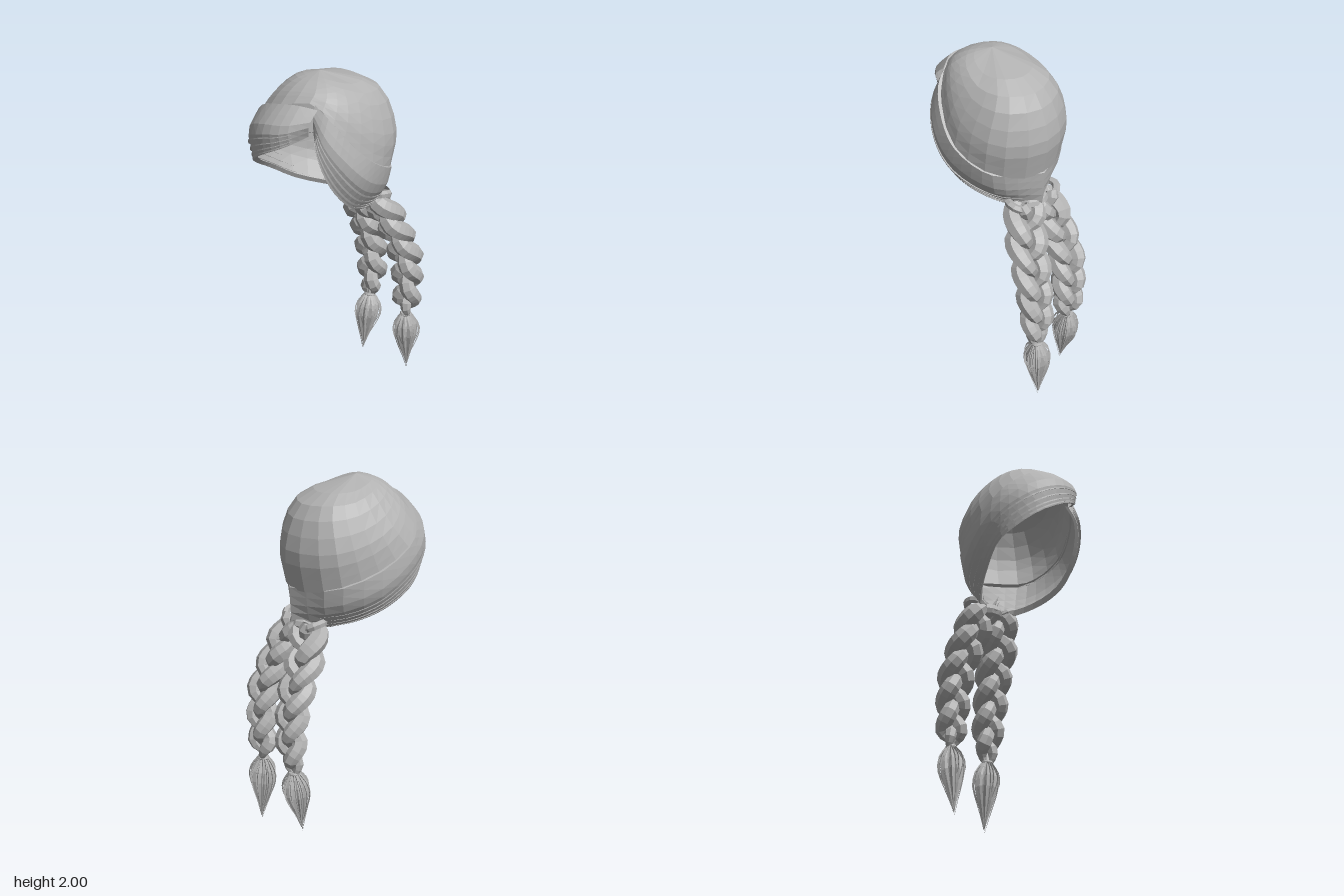
import * as THREE from 'three';

const hair = new THREE.MeshStandardMaterial({ color: 0xb2b2b2, side: THREE.DoubleSide, flatShading: true });
hair.name = 'hair grey';
const V = (x, y, z) => new THREE.Vector3(x, y, z);
const vecs = (list) => list.map((p) => V(...p));
const core = V(0, 1.6, 0.04);

function add(group, name, geometry) {
  const mesh = new THREE.Mesh(geometry, hair);
  mesh.name = name;
  group.add(mesh);
  return mesh;
}

// Point on the surface spanned by several rails: u along them, v across them
function surfacePoint(curves, u, v) {
  return new THREE.CatmullRomCurve3(curves.map((c) => c.getPoint(u))).getPoint(v);
}

function loft(curves, nu, nv) {
  const pos = [], index = [];
  for (let i = 0; i <= nu; i++) {
    for (let j = 0; j <= nv; j++) {
      pos.push(...surfacePoint(curves, i / nu, j / nv).toArray());
      if (i < nu && j < nv) {
        const a = i * (nv + 1) + j, b = a + nv + 1;
        index.push(a, a + 1, b, b, a + 1, b + 1);
      }
    }
  }
  const g = new THREE.BufferGeometry();
  g.setAttribute('position', new THREE.Float32BufferAttribute(pos, 3));
  g.setIndex(index);
  g.computeVertexNormals();
  return g;
}

// Tube whose radius follows a function of the position along it
function strand(points, segments, sides, radius) {
  const curve = new THREE.CatmullRomCurve3(points);
  const g = new THREE.TubeGeometry(curve, segments, 1, sides);
  const p = g.attributes.position, v = V(0, 0, 0);
  for (let i = 0; i < p.count; i++) {
    const t = Math.floor(i / (sides + 1)) / segments;
    const c = curve.getPointAt(t);
    v.fromBufferAttribute(p, i).sub(c).multiplyScalar(radius(t)).add(c);
    p.setXYZ(i, v.x, v.y, v.z);
  }
  g.computeVertexNormals();
  return g;
}

// Smooth crown of the hair, from the top down to the ridge
function crown(group) {
  const upper = [[0, 1.975, .23], [.1, 1.98, .19], [.17, 1.95, .12], [.2, 1.9, -.02], [.15, 1.89, -.15],
    [0, 1.88, -.21], [-.15, 1.89, -.15], [-.2, 1.9, -.02], [-.17, 1.94, .12], [-.1, 1.965, .2]];
  const middle = [[0, 1.93, .31], [.16, 1.94, .24], [.25, 1.86, .15], [.3, 1.72, 0], [.235, 1.66, -.2],
    [0, 1.65, -.31], [-.235, 1.66, -.2], [-.3, 1.7, 0], [-.28, 1.78, .18], [-.18, 1.87, .28]];
  const ridge = [[0, 1.87, .37], [.17, 1.9, .28], [.28, 1.74, .2], [.325, 1.56, .02], [.23, 1.46, -.17],
    [0, 1.43, -.28], [-.23, 1.46, -.17], [-.32, 1.53, .05], [-.31, 1.66, .27], [-.2, 1.78, .35]];
  const top = upper.map(() => [0, 2, .12]);
  const curves = [top, upper, middle, ridge].map((r) => new THREE.CatmullRomCurve3(vecs(r), true));
  add(group, 'crown', loft(curves, 24, 9));
}

// Swept layer: top, middle and lower rails, with a ledge above and a turned-in hem
function sweptLayer(group, name, top, mid, edge) {
  const inward = (list, s, dy) => vecs(list).map((p) => p.sub(core).multiplyScalar(s).add(core).add(V(0, dy, 0)));
  const curve = (pts) => new THREE.CatmullRomCurve3(pts);
  const [t, m, e] = [top, mid, edge].map((r) => curve(vecs(r)));
  add(group, name, loft([t, m, e], 20, 5));
  add(group, name + 'Ledge', loft([curve(inward(top, 0.95, 0.005)), t], 20, 1));
  add(group, name + 'Hem', loft([e, curve(inward(edge, 0.95, 0.01))], 20, 1));
  // fine raised hairs along the lower half
  for (const v of [0.68, 0.8, 0.9, 0.97]) {
    const pts = [];
    for (let i = 1; i < 12; i++) {
      pts.push(surfacePoint([t, m, e], i / 12, v).sub(core).multiplyScalar(1.01).add(core));
    }
    add(group, name + 'Hair', strand(pts, 24, 3, (k) => 0.001 + 0.005 * Math.sin(Math.PI * k)));
  }
}

// Three-strand braid following a path, thicker where a strand bulges outwards
function braid(group, path, side) {
  const curve = new THREE.CatmullRomCurve3(path), turns = 1.9;
  for (let s = 0; s < 3; s++) {
    const phase = (t) => Math.PI * 2 * (t * turns + s / 3);
    const pts = [];
    for (let i = 0; i <= 40; i++) {
      const t = i / 40, a = phase(t), w = 1 - 0.35 * t * t;
      const pinch = Math.min(1, 0.35 + (1 - t) * 6);
      pts.push(curve.getPointAt(t).add(
        V(Math.sin(a) * 0.064 * side * w * pinch, 0, Math.sin(2 * a) * 0.044 * w * pinch)));
    }
    add(group, 'braidStrand', strand(pts, 40, 7, (t) => {
      const bulge = 0.036 + 0.021 * Math.abs(Math.sin(phase(t)));
      return bulge * (1 - 0.25 * t * t) * Math.min(1, 0.4 + (1 - t) * 7, 0.6 + t * 6);
    }));
  }
}

// Tied tuft hanging from the end of a braid
function tassel(group, end, length, lean) {
  const tuft = new THREE.Group();
  tuft.name = 'tassel';
  const outline = [[.022, 0], [.04, -.08], [.06, -.2], [.064, -.36], [.046, -.56], [.022, -.76], [.003, -.94]];
  const body = new THREE.LatheGeometry(outline.map(([r, y]) => new THREE.Vector2(r, y * length)), 20);
  const p = body.attributes.position;
  for (let i = 0; i < p.count; i++) {
    const k = Math.floor(i / outline.length) % 2 ? 0.84 : 1.04;
    p.setX(i, p.getX(i) * k);
    p.setZ(i, p.getZ(i) * k);
  }
  body.computeVertexNormals();
  add(tuft, 'tuft', body);
  for (let i = 0; i < 22; i++) {
    const a = i * 2.4, reach = 0.72 + 0.28 * ((i * 7) % 11) / 10, wide = 1.04 + 0.2 * ((i * 5) % 7) / 6;
    const pts = outline.map(([r, y]) => V(Math.cos(a) * r * wide, y * length * reach / 0.94, Math.sin(a) * r * wide));
    add(tuft, 'tuftHair', strand(pts, 10, 3, (t) => 0.0055 * (1 - t) + 0.0008));
  }
  const tie = add(tuft, 'tie', new THREE.TorusGeometry(0.024, 0.011, 6, 12));
  tie.rotation.x = Math.PI / 2;
  tuft.position.copy(end);
  tuft.rotation.x = lean;
  group.add(tuft);
}

export function createModel() {
  const model = new THREE.Group();
  model.name = 'braidedHair';
  crown(model);

  // Fringe sweeping from the parting across the forehead and round to the nape
  sweptLayer(model, 'fringe',
    [[.19, 1.88, .28], [.1, 1.895, .345], [0, 1.88, .38], [-.13, 1.84, .375], [-.24, 1.76, .345], [-.31, 1.68, .28],
      [-.333, 1.56, .08], [-.245, 1.47, -.165], [0, 1.44, -.29]],
    [[.2, 1.82, .34], [.12, 1.79, .44], [0, 1.77, .48], [-.14, 1.72, .46], [-.25, 1.65, .395], [-.32, 1.57, .28],
      [-.33, 1.44, .08], [-.22, 1.35, -.15], [0, 1.32, -.285]],
    [[.18, 1.75, .33], [.12, 1.7, .43], [0, 1.635, .475], [-.14, 1.55, .445], [-.24, 1.46, .35], [-.28, 1.395, .25],
      [-.25, 1.305, .11], [-.16, 1.235, -.08], [0, 1.205, -.275]]);

  // Shorter lock on the other side of the parting
  sweptLayer(model, 'sideLock',
    [[.17, 1.9, .28], [.26, 1.82, .24], [.32, 1.68, .14], [.333, 1.57, .02], [.245, 1.47, -.165], [0, 1.44, -.29]],
    [[.18, 1.84, .3], [.27, 1.72, .29], [.335, 1.57, .19], [.33, 1.45, .06], [.22, 1.35, -.15], [0, 1.32, -.285]],
    [[.18, 1.77, .3], [.23, 1.66, .32], [.26, 1.48, .26], [.25, 1.32, .12], [.16, 1.235, -.09], [0, 1.205, -.275]]);

  // Gathered nape with a few loose ends
  const nape = add(model, 'nape', new THREE.SphereGeometry(1, 10, 6));
  nape.scale.set(0.09, 0.05, 0.07);
  nape.position.set(0, 1.23, -0.21);
  for (let i = 0; i < 5; i++) {
    const spike = add(model, 'looseEnd', new THREE.ConeGeometry(0.02, 0.12, 4));
    spike.position.set((i - 2) * 0.026, 1.29, -0.2 - 0.03 * (i % 3));
    spike.rotation.set(((i * 3) % 5 - 2) * 0.2, 0, (2 - i) * 0.3);
  }
  for (const x of [-0.11, 0.11]) {
    const wrap = add(model, 'napeWrap', new THREE.TorusGeometry(0.05, 0.022, 6, 12));
    wrap.position.set(x, 1.24, -0.2);
    wrap.rotation.set(1.4, x * 4, 0);
  }

  // Braids and their tassels
  const right = vecs([[-.05, 1.25, -.2], [-.1, 1.08, -.255], [-.13, .86, -.34], [-.135, .65, -.37], [-.145, .42, -.36]]);
  const left = vecs([[.05, 1.25, -.2], [.11, 1.08, -.275], [.14, .86, -.37], [.14, .65, -.405], [.135, .4, -.405]]);
  braid(model, right, -1);
  braid(model, left, 1);
  tassel(model, right[4], 0.39, -0.12);
  tassel(model, left[4], 0.4, 0.06);
  return model;
}
